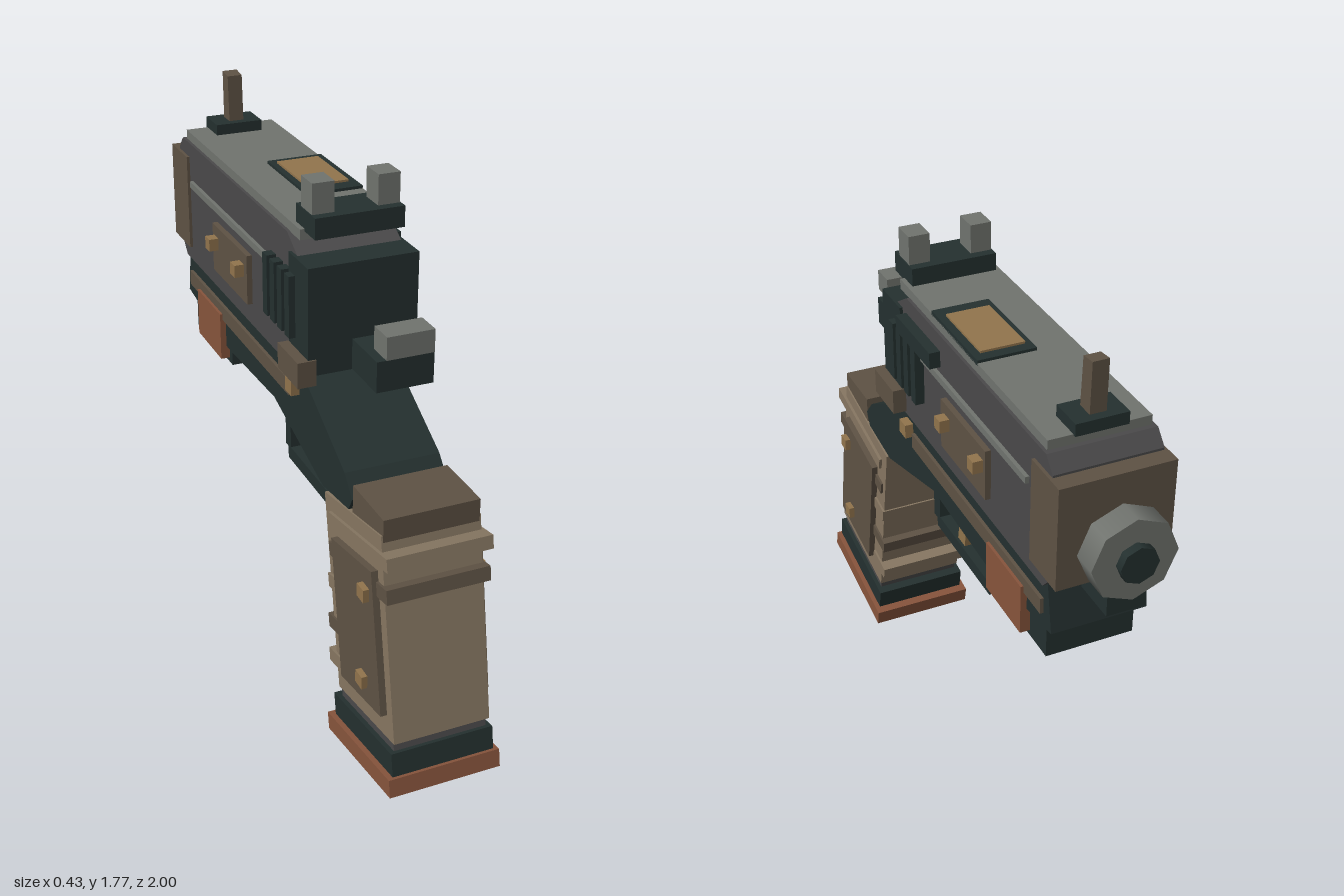
import * as THREE from 'three';

const mat = (name, color) => {
  const m = new THREE.MeshStandardMaterial({ color });
  m.name = name;
  return m;
};

export function createModel() {
  const teal = mat('dark teal', 0x24302f);
  const slate = mat('slate grey', 0x4a494a);
  const steel = mat('light grey', 0x70736e);
  const brown = mat('brown', 0x5e5244);
  const tan = mat('tan', 0x867661);
  const gold = mat('gold', 0x91744c);
  const rust = mat('rust', 0x87543c);

  const root = new THREE.Group();
  root.name = 'blaster';

  const add = (name, geometry, material, x = 0, y = 0, z = 0) => {
    const mesh = new THREE.Mesh(geometry, material);
    mesh.name = name;
    mesh.position.set(x, y, z);
    root.add(mesh);
    return mesh;
  };
  // Box from its limits on each axis
  const box = (name, m, [x0, x1], [y0, y1], [z0, z1]) =>
    add(name, new THREE.BoxGeometry(x1 - x0, y1 - y0, z1 - z0), m,
      (x0 + x1) / 2, (y0 + y1) / 2, (z0 + z1) / 2);
  // Box centred on x
  const mid = (name, m, half, y, z) => box(name, m, [-half, half], y, z);
  // Mirrored pair of boxes
  const pair = (name, m, [x0, x1], y, z) => {
    box(name + 'Left', m, [x0, x1], y, z);
    box(name + 'Right', m, [-x1, -x0], y, z);
  };
  // Side profile of [z, y] points, extruded across x
  const profile = (name, m, half, points) => {
    const shape = new THREE.Shape(points.map(([z, y]) => new THREE.Vector2(-z, y)));
    const g = new THREE.ExtrudeGeometry(shape, { depth: half * 2, bevelEnabled: false });
    g.translate(0, 0, -half).rotateY(Math.PI / 2);
    return add(name, g, m);
  };
  // Box leaning with the grip
  const lean = (name, m, half, y, z, h, len) => {
    const mesh = add(name, new THREE.BoxGeometry(half * 2, h, len), m, 0, y, z);
    mesh.rotation.x = -0.187;
    return mesh;
  };
  // Cylinder along z
  const barrel = (name, m, r, y, [z0, z1], sides) => {
    const g = new THREE.CylinderGeometry(r, r, z1 - z0, sides).rotateX(Math.PI / 2);
    return add(name, g, m, 0, y, (z0 + z1) / 2);
  };

  // Upper body
  profile('slide', slate, 0.165, [[0.27, 1.125], [-0.77, 1.125], [-0.81, 1.17],
    [-0.81, 1.51], [-0.77, 1.553], [0.19, 1.553], [0.27, 1.505]]);
  mid('topRail', steel, 0.155, [1.55, 1.583], [-0.755, 0.265]);
  mid('rearCap', teal, 0.175, [1.165, 1.505], [0.225, 0.372]);
  pair('rearFoot', brown, [0.15, 0.21], [1.135, 1.218], [0.22, 0.378]);
  mid('muzzleBlock', brown, 0.175, [1.175, 1.503], [-0.865, -0.705]);

  // Side details
  pair('sideStripe', steel, [0.16, 0.177], [1.405, 1.427], [-0.675, 0.06]);
  pair('sidePanel', brown, [0.16, 0.183], [1.2, 1.365], [-0.43, -0.11]);
  for (const z of [-0.395, -0.155])
    pair('panelStud', gold, [0.18, 0.215], [1.287, 1.328], [z - 0.02, z + 0.02]);
  for (let i = 0; i < 4; i++) {
    const z = 0.257 - i * 0.059;
    pair('serration', teal, [0.16, 0.195], [1.25, 1.447], [z - 0.018, z + 0.018]);
  }
  box('sideLever', teal, [0.16, 0.2], [1.447, 1.5], [-0.07, 0.197]);

  // Top port and sights
  box('portFrame', teal, [-0.03, 0.155], [1.575, 1.592], [-0.315, 0.015]);
  box('portInlay', gold, [-0.01, 0.13], [1.59, 1.599], [-0.28, -0.035]);
  mid('frontSightBase', teal, 0.08, [1.58, 1.618], [-0.765, -0.655]);
  profile('frontSightPost', brown, 0.025,
    [[-0.683, 1.615], [-0.737, 1.615], [-0.74, 1.776], [-0.69, 1.77]]);
  mid('rearSightBase', teal, 0.14, [1.575, 1.64], [0.2, 0.342]);
  pair('rearSightPost', steel, [0.068, 0.137], [1.635, 1.733], [0.23, 0.312]);

  // Muzzle
  barrel('muzzleNeck', teal, 0.095, 1.29, [-0.895, -0.86], 8);
  barrel('muzzleRing', steel, 0.13, 1.3, [-0.973, -0.893], 8);
  barrel('muzzleBore', teal, 0.058, 1.3, [-1, -0.97], 8);
  mid('underBarrel', teal, 0.06, [1.11, 1.185], [-0.943, -0.8]);

  // Hammer
  mid('hammer', teal, 0.088, [1.23, 1.325], [0.49, 0.656]);
  mid('hammerSpur', steel, 0.073, [1.34, 1.41], [0.602, 0.685]);

  // Frame
  profile('frame', teal, 0.152, [[0.25, 1.14], [0.59, 0.955], [0.645, 0.895],
    [0.62, 0.85], [0.43, 0.825], [0.035, 0.935], [-0.4, 0.915], [-0.805, 0.975], [-0.775, 1.14]]);
  pair('frameStrip', brown, [0.145, 0.163], [1.015, 1.067], [-0.755, 0.187]);
  pair('frameStud', gold, [0.145, 0.18], [1.045, 1.093], [0.2, 0.25]);
  mid('underBlock', teal, 0.14, [0.852, 0.96], [-0.755, -0.39]);
  mid('powerCell', rust, 0.172, [0.87, 1.037], [-0.65, -0.415]);

  // Trigger and guard
  mid('guardRear', teal, 0.035, [0.63, 0.793], [0.27, 0.32]);
  mid('guardBottom', teal, 0.035, [0.598, 0.645], [-0.14, 0.292]);
  mid('guardFront', teal, 0.035, [0.64, 0.925], [-0.165, -0.12]);
  profile('trigger', gold, 0.025, [[0.105, 0.82], [0.055, 0.82], [0.08, 0.645], [0.137, 0.64]]);
  mid('triggerTop', steel, 0.035, [0.81, 0.905], [0.048, 0.113]);

  // Grip
  mid('gripCap', brown, 0.15, [0.82, 0.943], [0.645, 0.85]);
  lean('gripBody', tan, 0.155, 0.535, 0.71, 0.65, 0.4);
  lean('gripCollar', tan, 0.165, 0.795, 0.708, 0.042, 0.41);
  lean('gripBand', brown, 0.163, 0.69, 0.708, 0.045, 0.41);
  const ribs = [[0.545, 0.555, tan], [0.4, 0.56, brown], [0.275, 0.568, tan]];
  for (const [y, z, m] of ribs) lean('gripRib', m, 0.162, y, z, 0.045, 0.11);
  lean('gripPanels', brown, 0.176, 0.52, 0.733, 0.455, 0.285);
  for (const y of [0.38, 0.685])
    pair('gripStud', gold, [0.17, 0.195], [y - 0.021, y + 0.021], [0.778, 0.822]);

  // Base of the grip
  lean('gripNeck', slate, 0.15, 0.21, 0.768, 0.06, 0.375);
  lean('baseCollar', teal, 0.165, 0.147, 0.771, 0.075, 0.42);
  lean('basePlate', rust, 0.181, 0.077, 0.774, 0.058, 0.455);

  return root;
}
